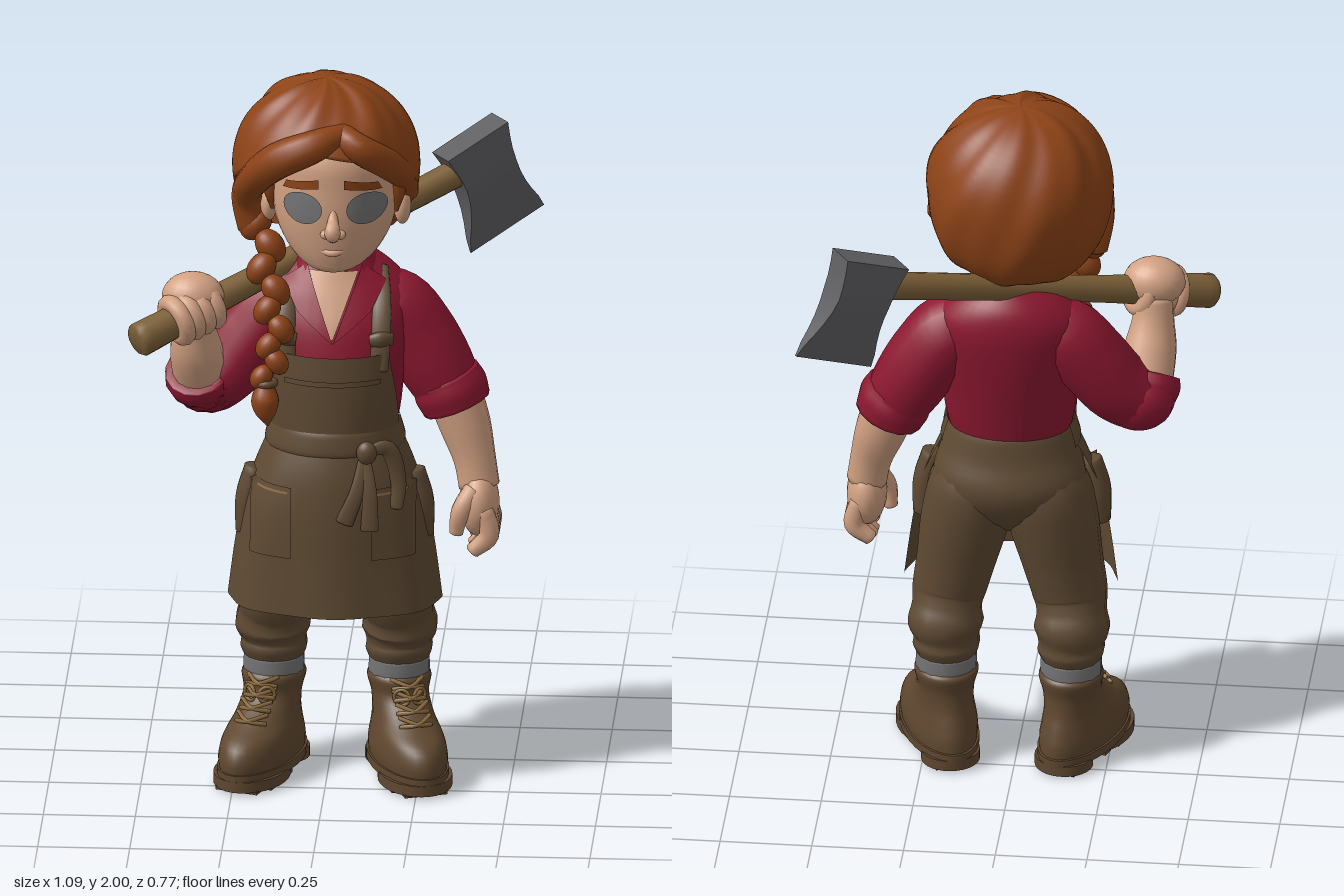
import * as THREE from 'three';
import { toCreasedNormals } from 'three/addons/utils/BufferGeometryUtils.js';

const V = (x, y, z) => new THREE.Vector3(x, y, z);
const MID = 0.02; // the body's mirror plane in x
const mat = (name, color, side = THREE.FrontSide) => {
  const m = new THREE.MeshStandardMaterial({ color, side });
  m.name = name;
  return m;
};

// Skin a grid of points; rows run upwards, columns run anticlockwise
function grid(rows, closed) {
  const n = rows[0].length, idx = [], cols = closed ? n : n - 1;
  for (let r = 0; r < rows.length - 1; r++) for (let c = 0; c < cols; c++) {
    const a = r * n + c, b = r * n + (c + 1) % n;
    idx.push(a, b, a + n, b, b + n, a + n);
  }
  const g = new THREE.BufferGeometry().setFromPoints(rows.flat());
  g.setIndex(idx);
  g.computeVertexNormals();
  return g;
}

// Smooth interpolation through rows of numbers
function sample(list, t) {
  const f = t * (list.length - 1), i = Math.min(Math.floor(f), list.length - 2), u = f - i;
  const at = (k) => list[Math.max(0, Math.min(list.length - 1, k))];
  return list[0].map((_, k) => {
    const [p0, p1, p2, p3] = [at(i - 1)[k], at(i)[k], at(i + 1)[k], at(i + 2)[k]];
    return p1 + 0.5 * u * (p2 - p0 + u * (2 * p0 - 5 * p1 + 4 * p2 - p3 + u * (3 * (p1 - p2) + p3 - p0)));
  });
}

// Stacked ellipses: [y, centreX, centreZ, radiusX, radiusZ, half angle of arc]
function loft(secs, ripple = 0, n = 36) {
  const open = secs[0].length > 5, steps = (secs.length - 1) * 4, rows = [];
  for (let i = 0; i <= steps; i++) {
    const [y, cx, cz, rx, rz, half = Math.PI] = sample(secs, i / steps);
    rows.push(Array.from({ length: open ? n + 1 : n }, (_, j) => {
      const a = -half + 2 * half * j / n, k = 1 + ripple * (1 - i / steps) * Math.cos(7 * a);
      return V(cx + Math.max(rx, 0.001) * k * Math.sin(a), y, cz + Math.max(rz, 0.001) * k * Math.cos(a));
    }));
  }
  return grid(rows, !open);
}

// Tube through [x, y, z, radius] points with rounded-off ends
function limb(pts, flat = 1, n = 14) {
  const curve = new THREE.CatmullRomCurve3(pts.map((p) => V(p[0], p[1], p[2])));
  const steps = (pts.length - 1) * 5, rows = [];
  const ring = (t, k) => {
    const c = curve.getPoint(t), d = curve.getTangent(t), r = Math.max(0.0005, sample(pts, t)[3] * k);
    const s = d.clone().cross(V(0, 0, 1)).normalize(), f = s.clone().cross(d);
    rows.push(Array.from({ length: n }, (_, j) => {
      const a = 2 * Math.PI * j / n;
      return c.clone().addScaledVector(s, r * Math.sin(a)).addScaledVector(f, r * flat * Math.cos(a));
    }));
  };
  ring(0, 0); ring(0, 0.8);
  for (let i = 0; i <= steps; i++) ring(0.02 + 0.96 * i / steps, 1);
  ring(1, 0.8); ring(1, 0);
  return grid(rows, true);
}

const ball = (x, y, z, rx, ry, rz) => new THREE.SphereGeometry(1, 20, 14).scale(rx, ry, rz).translate(x, y, z);
const disc = (x, y, rx, ry) => new THREE.RingGeometry(0.001, 1, 24, 4).scale(rx, ry, 1).translate(x, y, 0);

// Four-cornered patch, corners anticlockwise from bottom left
function quad(a, b, c, d) {
  const g = new THREE.PlaneGeometry(1, 1, 8, 8), p = g.attributes.position;
  for (let i = 0; i < p.count; i++) {
    const u = p.getX(i) + 0.5, v = p.getY(i) + 0.5;
    const mix = (k) => (1 - v) * ((1 - u) * a[k] + u * b[k]) + v * ((1 - u) * d[k] + u * c[k]);
    p.setXY(i, mix(0), mix(1));
  }
  return g;
}

// Lay a flat patch over the front of a mesh
function drape(target, g, off) {
  const p = g.attributes.position, ray = new THREE.Raycaster();
  let z = 0.2;
  for (let i = 0; i < p.count; i++) {
    ray.set(V(p.getX(i), p.getY(i), 2), V(0, 0, -1));
    const hit = ray.intersectObject(target)[0];
    if (hit) z = hit.point.z;
    p.setZ(i, z + off);
  }
  g.computeVertexNormals();
  return g;
}

export function createModel() {
  const root = new THREE.Group();
  const both = THREE.DoubleSide;
  const skin = mat('skin', 0xd2a182), hair = mat('auburn hair', 0x8d4317, both), shirt = mat('red shirt', 0x8e1831, both);
  const cloth = mat('brown cloth', 0x5f4a33, both), boot = mat('boot leather', 0x5f472f);
  const grey = mat('grey', 0x747476), metal = mat('steel', 0x606063), wood = mat('wood', 0x7c6038), tan = mat('tan lace', 0x8d6c3e, both);
  const add = (name, g, m, parent = root) => {
    const mesh = new THREE.Mesh(g, m);
    mesh.name = name;
    parent.add(mesh);
    return mesh;
  };

  // Torso, neck and open collar
  const torso = add('shirtBody', loft([[0.97, MID, 0.1, 0.15, 0.12], [1.05, MID, 0.103, 0.175, 0.142], [1.18, MID, 0.09, 0.19, 0.158],
    [1.3, MID, 0.068, 0.212, 0.157], [1.38, MID, 0.047, 0.205, 0.142], [1.44, MID, 0.038, 0.155, 0.12], [1.485, MID, 0.045, 0.095, 0.093]]), shirt);
  add('neck', limb([[MID, 1.38, 0.07, 0.075], [MID, 1.46, 0.08, 0.072], [MID, 1.56, 0.1, 0.075]]), skin);
  add('openChest', drape(torso, quad([0.012, 1.29], [0.02, 1.29], [0.085, 1.46], [-0.05, 1.46]), 0.006), skin);
  add('collarBand', loft([[1.43, MID, 0.05, 0.13, 0.122], [1.47, MID, 0.052, 0.11, 0.108], [1.51, MID, 0.055, 0.09, 0.092]].map((r) => [...r, 2.4]))
    .translate(-MID, 0, -0.055).rotateY(Math.PI).translate(MID, 0, 0.055), shirt);
  for (const s of [-1, 1]) {
    const x = (d) => MID + s * d;
    const c = [[x(0), 1.28], [x(0.1), 1.36], [x(0.14), 1.43], [x(0.075), 1.475]];
    add('collarFlap', drape(torso, s > 0 ? quad(...c) : quad(c[1], c[0], c[3], c[2]), 0.014), shirt);
  }

  // Trousers, socks and boots
  add('trouserSeat', loft([[0.7, MID, 0.08, 0.02, 0.03], [0.76, MID, 0.078, 0.13, 0.1], [0.82, MID, 0.075, 0.198, 0.133], [0.88, MID, 0.075, 0.208, 0.143],
    [0.95, MID, 0.09, 0.188, 0.137], [1.02, MID, 0.1, 0.165, 0.135], [1.035, MID, 0.1, 0.15, 0.12]]), cloth);
  for (const s of [-1, 1]) {
    const side = s > 0 ? 'left' : 'right', x = (d) => MID + s * d;
    add(side + 'TrouserLeg', limb([[x(0.09), 0.92, 0.075, 0.1], [x(0.1), 0.83, 0.073, 0.123], [x(0.122), 0.72, 0.08, 0.122], [x(0.145), 0.6, 0.085, 0.11], [x(0.165), 0.5, 0.085, 0.102],
      [x(0.17), 0.455, 0.07, 0.096], [x(0.172), 0.41, 0.058, 0.104], [x(0.17), 0.37, 0.055, 0.09], [x(0.17), 0.345, 0.055, 0.092], [x(0.17), 0.31, 0.055, 0.08]]), cloth);
    add(side + 'Sock', limb([[x(0.17), 0.24, 0.055, 0.08], [x(0.17), 0.28, 0.055, 0.084], [x(0.17), 0.325, 0.055, 0.083]]), grey);
    const foot = new THREE.Group();
    foot.name = side + 'Boot';
    foot.position.set(x(0.17), 0, 0.055);
    foot.rotation.y = s * 0.35;
    root.add(foot);
    add('bootUpper', loft([[0.04, 0, 0.08, 0.092, 0.197], [0.085, 0, 0.082, 0.097, 0.197], [0.13, 0, 0.075, 0.09, 0.178], [0.17, 0, 0.04, 0.08, 0.13],
      [0.22, 0, 0.008, 0.077, 0.093], [0.265, 0, 0, 0.087, 0.094], [0.28, 0, 0, 0.08, 0.085]]), boot, foot);
    for (const [name, y, h, z, rx, rz] of [['welt', 0.032, 0.024, 0.08, 0.1, 0.205], ['heel', 0.008, 0.03, -0.045, 0.08, 0.077], ['frontSole', 0.008, 0.03, 0.15, 0.098, 0.135]])
      add(name, toCreasedNormals(new THREE.CylinderGeometry(1, 1, h, 28).scale(rx, 1, rz).translate(0, y + h / 2, z), 0.6), boot, foot);
    // Tread lugs
    for (const [z, d] of [[-0.075, 0.03], [-0.02, 0.042], [0.07, 0.055], [0.13, 0.065], [0.19, 0.06], [0.24, 0.038]]) for (const k of [-1, 1])
      add('treadLug', new THREE.BoxGeometry(0.045, 0.012, 0.035).translate(k * d, 0.006, z), boot, foot);
    for (let i = 0; i < 4; i++) {
      const y = 0.168 + i * 0.028, z = 0.176 - i * 0.029 + (i === 3 ? 0.014 : 0);
      for (const k of [-1, 1]) add('lace', limb([[-0.045 * k, y, z - 0.02, 0.006], [0, y + 0.012, z + 0.006, 0.006], [0.045 * k, y + 0.024, z - 0.032, 0.006]], 1, 6), tan, foot);
    }
    for (const k of [-1, 1]) add('laceBow', new THREE.TorusGeometry(0.022, 0.005, 6, 14).rotateY(0.5 * k).translate(0.025 * k, 0.235, 0.108), tan, foot);
  }

  // Apron: skirt, bib, belt, pockets, knot and straps
  const skirt = add('apronSkirt', loft([[0.515, MID, 0.13, 0.29, 0.19, 1.62], [0.66, MID, 0.13, 0.272, 0.185, 1.62],
    [0.8, MID, 0.13, 0.248, 0.183, 1.65], [0.91, MID, 0.12, 0.212, 0.183, 1.75], [1.0, MID, 0.11, 0.172, 0.168, 1.8]], 0.022, 60), cloth);
  const bib = add('apronBib', loft([[0.99, MID, 0.11, 0.174, 0.168, 1.5], [1.08, MID, 0.11, 0.186, 0.168, 1.2],
    [1.17, MID, 0.102, 0.2, 0.174, 0.96], [1.25, MID, 0.095, 0.206, 0.174, 0.82]]), cloth);
  add('bibHem', drape(bib, quad([-0.11, 1.17], [0.15, 1.17], [0.15, 1.185], [-0.11, 1.185]), 0.007), cloth);
  add('belt', loft([[0.965, MID, 0.11, 0.19, 0.176, 1.9], [0.98, MID, 0.11, 0.19, 0.18, 1.9], [1.02, MID, 0.11, 0.179, 0.174, 1.9], [1.035, MID, 0.11, 0.174, 0.168, 1.9]]), cloth);
  for (const s of [-1, 1]) {
    const x = (d) => MID + s * d;
    const patch = (x0, x1, y0, y1) => {
      const [l, r] = [Math.min(x(x0), x(x1)), Math.max(x(x0), x(x1))];
      return quad([l, y0], [r, y0], [r, y1], [l, y1]);
    };
    add('pocket', drape(skirt, patch(0.11, 0.225, 0.68, 0.88), 0.006), cloth);
    add('pocketStitch', drape(skirt, patch(0.12, 0.205, 0.862, 0.868), 0.009), tan);
    add('sidePocketFlap', limb([[x(0.235), 0.7, 0.14, 0.035], [x(0.232), 0.8, 0.14, 0.038], [x(0.212), 0.89, 0.14, 0.033]]), cloth);
    add('strap', limb([[x(0.125), 1.2, 0.225, 0.026], [x(0.13), 1.3, 0.205, 0.027], [x(0.128), 1.38, 0.16, 0.027], [x(0.118), 1.45, 0.075, 0.025]], 0.4), cloth);
    add('strapClasp', limb([[x(0.1), 1.285, 0.217, 0.018], [x(0.13), 1.29, 0.219, 0.022], [x(0.16), 1.285, 0.202, 0.018]], 0.7), cloth);
  }
  add('knot', ball(0.115, 0.985, 0.285, 0.028, 0.033, 0.022), cloth);
  for (const [x1, y1] of [[0.055, 0.79], [0.125, 0.77]])
    add('beltTie', limb([[0.11, 0.98, 0.285, 0.015], [(0.125 + x1) / 2, 0.88, 0.308, 0.02], [x1, y1, 0.315, 0.025]], 0.35), cloth);
  add('knotLoop', limb([[0.12, 0.99, 0.285, 0.014], [0.17, 0.995, 0.27, 0.024], [0.2, 0.9, 0.26, 0.022], [0.195, 0.82, 0.27, 0.018]], 0.4), cloth);

  // Lowered left arm
  add('leftSleeve', limb([[0.11, 1.34, 0.045, 0.085], [0.175, 1.325, 0.04, 0.102], [0.235, 1.25, 0.038, 0.105], [0.288, 1.16, 0.043, 0.102], [0.338, 1.07, 0.05, 0.09]]), shirt);
  add('leftCuff', limb([[0.312, 1.13, 0.048, 0.095], [0.33, 1.09, 0.05, 0.102], [0.348, 1.045, 0.052, 0.095]]), shirt);
  add('leftForearm', limb([[0.335, 1.09, 0.05, 0.075], [0.37, 0.99, 0.06, 0.07], [0.396, 0.9, 0.075, 0.058], [0.41, 0.82, 0.085, 0.056]]), skin);
  add('leftPalm', ball(0.41, 0.78, 0.092, 0.055, 0.095, 0.082), skin);
  for (let i = 0; i < 4; i++) {
    const z = 0.148 - i * 0.036, tip = 0.64 + Math.abs(i - 1.3) * 0.012;
    add('leftFinger', limb([[0.425, 0.78, z, 0.026], [0.44, 0.705, z, 0.028], [0.392, tip, z, 0.021]], 1, 10), skin);
  }
  add('leftThumb', limb([[0.4, 0.83, 0.13, 0.03], [0.362, 0.77, 0.15, 0.027], [0.35, 0.705, 0.145, 0.019]], 1, 10), skin);

  // Raised right arm
  add('rightSleeve', limb([[-0.07, 1.34, 0.045, 0.085], [-0.135, 1.325, 0.044, 0.102], [-0.205, 1.245, 0.055, 0.104], [-0.275, 1.155, 0.075, 0.1], [-0.33, 1.12, 0.1, 0.094], [-0.35, 1.16, 0.13, 0.086]]), shirt);
  add('rightElbow', ball(-0.33, 1.115, 0.085, 0.1, 0.09, 0.09), shirt);
  add('rightCuff', limb([[-0.345, 1.115, 0.1, 0.088], [-0.35, 1.14, 0.118, 0.094], [-0.354, 1.165, 0.135, 0.088]]), shirt);
  add('rightForearm', limb([[-0.345, 1.13, 0.11, 0.074], [-0.355, 1.23, 0.165, 0.072], [-0.36, 1.31, 0.19, 0.057], [-0.36, 1.37, 0.205, 0.055]]), skin);
  add('rightPalm', ball(-0.36, 1.405, 0.22, 0.085, 0.068, 0.068), skin);

  // Axe carried across the shoulders
  const start = V(-0.508, 1.315, 0.342), end = V(0.388, 1.627, -0.28), dir = end.clone().sub(start).normalize();
  const along = (t, r) => [...start.clone().lerp(end, t).toArray(), r];
  add('axeHandle', limb([along(0, 0.048), along(0.12, 0.044), along(0.35, 0.037), along(0.7, 0.037), along(1.05, 0.04)]), wood);
  const up = V(0, 1, 0).addScaledVector(dir, -dir.y).normalize();
  const blade = new THREE.BoxGeometry(1, 0.31, 1, 1, 8, 1), bp = blade.attributes.position;
  for (let i = 0; i < bp.count; i++) {
    const t = 0.5 - bp.getY(i) / 0.31; // 0 at the blunt end, 1 at the cutting edge
    const width = 0.205 - 0.045 * Math.sin(Math.PI * Math.min(1, t * 1.1)) + 0.045 * t * t;
    bp.setXYZ(i, bp.getX(i) * width, bp.getY(i) - 0.075, bp.getZ(i) * (t < 0.4 ? 0.085 : 0.085 - 0.079 * (t - 0.4) / 0.6));
  }
  blade.rotateZ(0.11).applyMatrix4(new THREE.Matrix4().makeBasis(dir, up, dir.clone().cross(up)).setPosition(end));
  add('axeHead', toCreasedNormals(blade, 0.5), metal);
  for (let i = 0; i < 4; i++) {
    const finger = add('rightFinger', new THREE.TorusGeometry(0.051, 0.024, 10, 24), skin);
    finger.position.copy(start).addScaledVector(dir, 0.135 + i * 0.034);
    finger.quaternion.setFromUnitVectors(V(0, 0, 1), dir);
  }

  // Head and face
  const head = add('head', loft([[1.487, MID, 0.19, 0.001, 0.001], [1.497, MID, 0.19, 0.06, 0.07], [1.53, MID, 0.155, 0.112, 0.125], [1.59, MID, 0.125, 0.152, 0.168],
    [1.66, MID, 0.115, 0.17, 0.185], [1.74, MID, 0.11, 0.172, 0.188], [1.82, MID, 0.11, 0.165, 0.18], [1.9, MID, 0.1, 0.12, 0.13], [1.93, MID, 0.1, 0.001, 0.001]]), skin);
  add('nose', limb([[0.025, 1.69, 0.288, 0.01], [0.025, 1.66, 0.302, 0.015], [0.025, 1.635, 0.325, 0.022], [0.025, 1.612, 0.302, 0.016]]), skin);
  for (const s of [-1, 1]) add('nostril', ball(0.025 + s * 0.02, 1.622, 0.303, 0.015, 0.013, 0.016), skin);
  add('lips', limb([[-0.03, 1.572, 0.266, 0.005], [0.022, 1.562, 0.287, 0.011], [0.075, 1.572, 0.266, 0.005]], 1, 8), skin);
  for (const s of [-1, 1]) {
    const x = (d) => MID + s * d;
    add('eye', drape(head, disc(0.028 + s * 0.087, 1.69, 0.054, 0.045), 0.006), grey);
    const b = [[x(0.035), 1.752], [x(0.135), 1.735], [x(0.125), 1.758], [x(0.035), 1.778]];
    add('eyebrow', drape(head, s > 0 ? quad(...b) : quad(b[1], b[0], b[3], b[2]), 0.008), hair);
    add('ear', ball(x(0.182), 1.64, 0.11, 0.024, 0.052, 0.038), skin);
    add('sideburn', limb([[x(0.175), 1.74, 0.165, 0.022], [x(0.173), 1.69, 0.16, 0.018], [x(0.168), 1.64, 0.155, 0.005]], 1, 8), hair);
  }

  // Hair shell: swirling from the crown down to a hairline that drops behind the ears
  const line = [[0, 1.15], [0.6, 1.27], [1.1, 1.52], [1.55, 1.78], [1.75, 2.1], [1.95, 2.5], [3.15, 2.85]];
  const hairline = (a) => {
    const i = Math.max(1, line.findIndex((p) => p[0] >= a)), [p, q] = [line[i - 1], line[i]];
    return p[1] + (q[1] - p[1]) * (a - p[0]) / (q[0] - p[0]);
  };
  const rows = [];
  for (let r = 0; r <= 30; r++) rows.push(Array.from({ length: 120 }, (_, j) => {
    const a = -Math.PI + 2 * Math.PI * j / 120, v = Math.min(1, (30 - r) / 29), phi = hairline(Math.abs(a)) * v;
    const swirl = 0.02 * Math.sin(6 * a + 3.5 * phi) + 0.009 * Math.sin(13 * a + 5 * phi);
    const wave = 1 + swirl * Math.sin(Math.PI * Math.min(v, 0.8)), k = (r === 0 ? 0.84 : 1) * wave;
    const s = Math.pow(Math.sin(phi), phi < Math.PI / 2 ? 0.95 : 0.6) * k;
    return V(-0.006 + 0.253 * s * Math.sin(a), 1.75 + 0.25 * Math.cos(phi) * wave, 0.092 + 0.252 * s * Math.cos(a));
  }));
  add('hair', grid(rows, true), hair);
  add('rightFringe', limb([[0.06, 1.9, 0.25, 0.03], [-0.03, 1.875, 0.305, 0.045], [-0.12, 1.83, 0.288, 0.05], [-0.19, 1.75, 0.215, 0.045], [-0.22, 1.66, 0.12, 0.042], [-0.2, 1.56, 0.1, 0.045]]), hair);
  add('leftFringe', limb([[0.03, 1.905, 0.24, 0.03], [0.09, 1.87, 0.288, 0.04], [0.165, 1.805, 0.23, 0.042], [0.206, 1.74, 0.15, 0.036], [0.212, 1.66, 0.06, 0.032]]), hair);

  // Braid over the right shoulder
  const path = new THREE.CatmullRomCurve3([V(-0.18, 1.58, 0.11), V(-0.155, 1.44, 0.2), V(-0.135, 1.31, 0.255), V(-0.155, 1.2, 0.285)]);
  for (let i = 0; i < 9; i++) {
    const p = path.getPoint(i / 8), s = i % 2 ? 1 : -1, r = 0.05 - 0.0018 * i;
    add('braidStrand', ball(0, 0, 0, r * 0.8, r * 1.05, r * 0.85).rotateZ(0.6 * s).translate(p.x + s * 0.016, p.y, p.z), hair);
  }
  add('braidTie', new THREE.TorusGeometry(0.022, 0.011, 8, 18).rotateX(Math.PI / 2).translate(-0.157, 1.185, 0.288), boot);
  add('braidTuft', limb([[-0.157, 1.19, 0.288, 0.02], [-0.16, 1.14, 0.295, 0.038], [-0.157, 1.1, 0.3, 0.028], [-0.152, 1.065, 0.302, 0.004]]), hair);
  return root;
}
